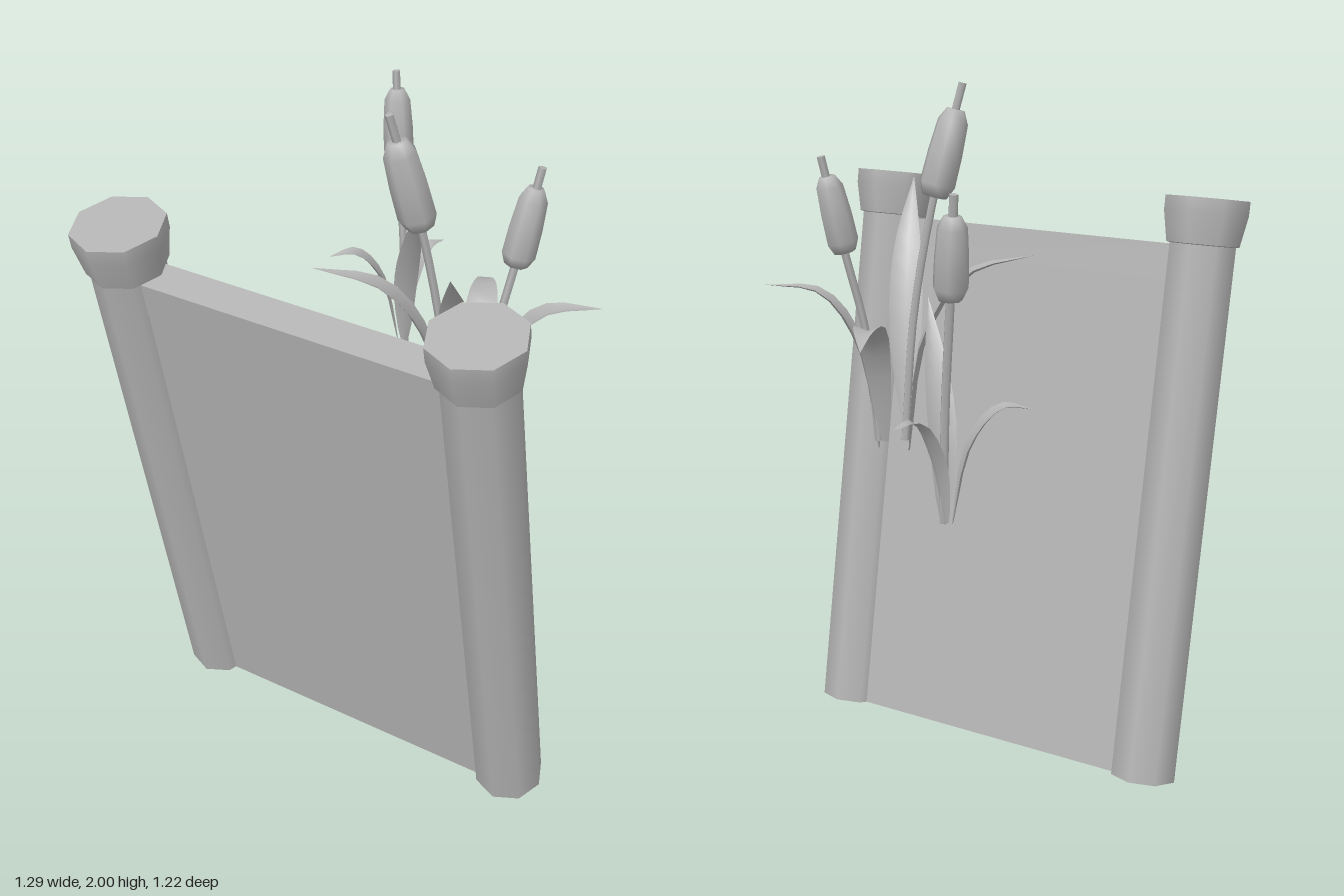
import * as THREE from 'three';

const stone = new THREE.MeshStandardMaterial({ color: 0xb4b4b4, side: THREE.DoubleSide });
stone.name = 'plainGrey';

const v3 = (a) => new THREE.Vector3(...a);
const curveOf = (pts) => new THREE.CatmullRomCurve3(pts.map(v3));

function add(parent, name, geometry, x = 0, y = 0, z = 0) {
  const mesh = new THREE.Mesh(geometry, stone);
  mesh.name = name;
  mesh.position.set(x, y, z);
  parent.add(mesh);
  return mesh;
}

const lathe = (pts, sides) =>
  new THREE.LatheGeometry(pts.map(([r, y]) => new THREE.Vector2(r, y)), sides);

// Leaning sign: two octagonal posts with flared caps, a panel and a top beam
function makeSign() {
  const sign = new THREE.Group();
  sign.name = 'leaningSign';
  for (const side of [-1, 1]) {
    const post = new THREE.Group();
    post.name = side > 0 ? 'leftPost' : 'rightPost';
    post.position.x = side * 0.52;
    add(post, 'postShaft', new THREE.CylinderGeometry(0.1, 0.1, 1.6, 8, 1, true), 0, 0.8);
    add(post, 'capSide', lathe([[0.11, 1.563], [0.127, 1.65], [0.127, 1.691]], 8));
    add(post, 'capUnderside', lathe([[0.095, 1.56], [0.11, 1.563]], 8));
    const top = new THREE.CircleGeometry(0.127, 8);
    top.rotateX(-Math.PI / 2);
    add(post, 'capTop', top, 0, 1.691);
    sign.add(post);
  }
  add(sign, 'panel', new THREE.BoxGeometry(1.02, 1.455, 0.096), 0, 0.7275);
  add(sign, 'topBeam', new THREE.BoxGeometry(1.02, 0.1, 0.1), 0, 1.505);
  sign.rotation.x = THREE.MathUtils.degToRad(10);
  sign.position.set(0, 0.0174, 0.1935);
  return sign;
}

// Curved stalk with a thick seed head; path ends at the tip of the spike
function makeCattail(name, path, headStart, headEnd, r) {
  const plant = new THREE.Group();
  plant.name = name;
  const curve = curveOf(path);
  add(plant, 'stalk', new THREE.TubeGeometry(curve, 12, 0.012, 5));
  const a = v3(headStart), b = v3(headEnd), length = a.distanceTo(b);
  const head = add(plant, 'seedHead', lathe([
    [0, 0], [r * 0.7, 0], [r, length * 0.14], [r * 0.97, length * 0.5],
    [r * 0.85, length * 0.86], [r * 0.5, length], [0, length],
  ], 7));
  head.position.copy(a);
  head.quaternion.setFromUnitVectors(new THREE.Vector3(0, 1, 0), b.clone().sub(a).normalize());
  const tip = curve.getPoint(1), tangent = curve.getTangent(1);
  const end = add(plant, 'tipEnd', new THREE.CircleGeometry(0.012, 5));
  end.position.copy(tip);
  end.quaternion.setFromUnitVectors(new THREE.Vector3(0, 0, 1), tangent);
  return plant;
}

// Blade leaf: shallow V cross-sections swept along a bending midrib
function makeLeaf(name, path, halfWidth) {
  const curve = curveOf(path), steps = 10, pos = [], index = [];
  const first = v3(path[0]), last = v3(path[path.length - 1]);
  const across = new THREE.Vector3(-(last.z - first.z), 0, last.x - first.x).normalize();
  for (let i = 0; i <= steps; i++) {
    const t = i / steps, p = curve.getPoint(t);
    const w = halfWidth * (0.25 * (1 - t) + Math.sin(Math.PI * Math.pow(t, 0.85)) * 0.95);
    const fold = new THREE.Vector3().crossVectors(across, curve.getTangent(t)).multiplyScalar(w * 0.35);
    for (const s of [-1, 0, 1]) {
      const q = p.clone().addScaledVector(across, s * w);
      if (s) q.add(fold);
      pos.push(q.x, q.y, q.z);
    }
    if (i < steps) {
      for (const k of [0, 1]) {
        const a = i * 3 + k;
        index.push(a, a + 1, a + 3, a + 1, a + 4, a + 3);
      }
    }
  }
  const g = new THREE.BufferGeometry();
  g.setAttribute('position', new THREE.Float32BufferAttribute(pos, 3));
  g.setIndex(index);
  g.computeVertexNormals();
  const leaf = new THREE.Mesh(g, stone);
  leaf.name = name;
  return leaf;
}

export function createModel() {
  const model = new THREE.Group();
  model.name = 'signWithReeds';
  model.add(makeSign());

  // Large clump: two cattails and four leaves
  const large = new THREE.Group();
  large.name = 'largeReedClump';
  large.add(
    makeCattail('tallCattail',
      [[0.2, 0.98, 0.025], [0.188, 1.35, 0.058], [0.145, 1.69, 0.102], [0.087, 1.997, 0.16]],
      [0.145, 1.685, 0.102], [0.1, 1.925, 0.146], 0.052),
    makeCattail('shortCattail',
      [[0.265, 0.98, -0.015], [0.29, 1.3, -0.035], [0.325, 1.54, -0.083], [0.365, 1.807, -0.13]],
      [0.325, 1.54, -0.083], [0.355, 1.752, -0.119], 0.046),
    makeLeaf('droopingLeaf',
      [[0.24, 0.98, -0.02], [0.225, 1.22, -0.08], [0.19, 1.34, -0.16], [0.15, 1.355, -0.25], [0.112, 1.325, -0.32]], 0.04),
    makeLeaf('outerLeaf',
      [[0.27, 0.955, -0.01], [0.32, 1.26, -0.04], [0.41, 1.41, -0.09], [0.55, 1.435, -0.16]], 0.042),
    makeLeaf('innerLeaf',
      [[0.17, 0.96, 0.005], [0.13, 1.29, 0.04], [0.03, 1.47, 0.105], [-0.13, 1.53, 0.195]], 0.045),
    makeLeaf('uprightLeaf',
      [[0.23, 1.01, 0.08], [0.265, 1.3, 0.135], [0.305, 1.52, 0.21], [0.36, 1.7, 0.33]], 0.045),
  );
  model.add(large);

  // Small clump: one cattail and three leaves
  const small = new THREE.Group();
  small.name = 'smallReedClump';
  small.add(
    makeCattail('backCattail',
      [[-0.22, 0.945, -0.435], [-0.235, 1.25, -0.45], [-0.263, 1.54, -0.47], [-0.287, 1.8, -0.492]],
      [-0.263, 1.54, -0.47], [-0.281, 1.747, -0.487], 0.045),
    makeLeaf('rearLeaf',
      [[-0.235, 0.95, -0.445], [-0.225, 1.12, -0.48], [-0.205, 1.23, -0.54], [-0.185, 1.23, -0.61]], 0.03),
    makeLeaf('bentLeaf',
      [[-0.25, 0.95, -0.435], [-0.29, 1.16, -0.405], [-0.35, 1.25, -0.36], [-0.413, 1.245, -0.31]], 0.032),
    makeLeaf('tallLeaf',
      [[-0.215, 0.94, -0.425], [-0.195, 1.16, -0.4], [-0.15, 1.34, -0.36], [-0.09, 1.5, -0.3]], 0.034),
  );
  model.add(small);
  return model;
}
